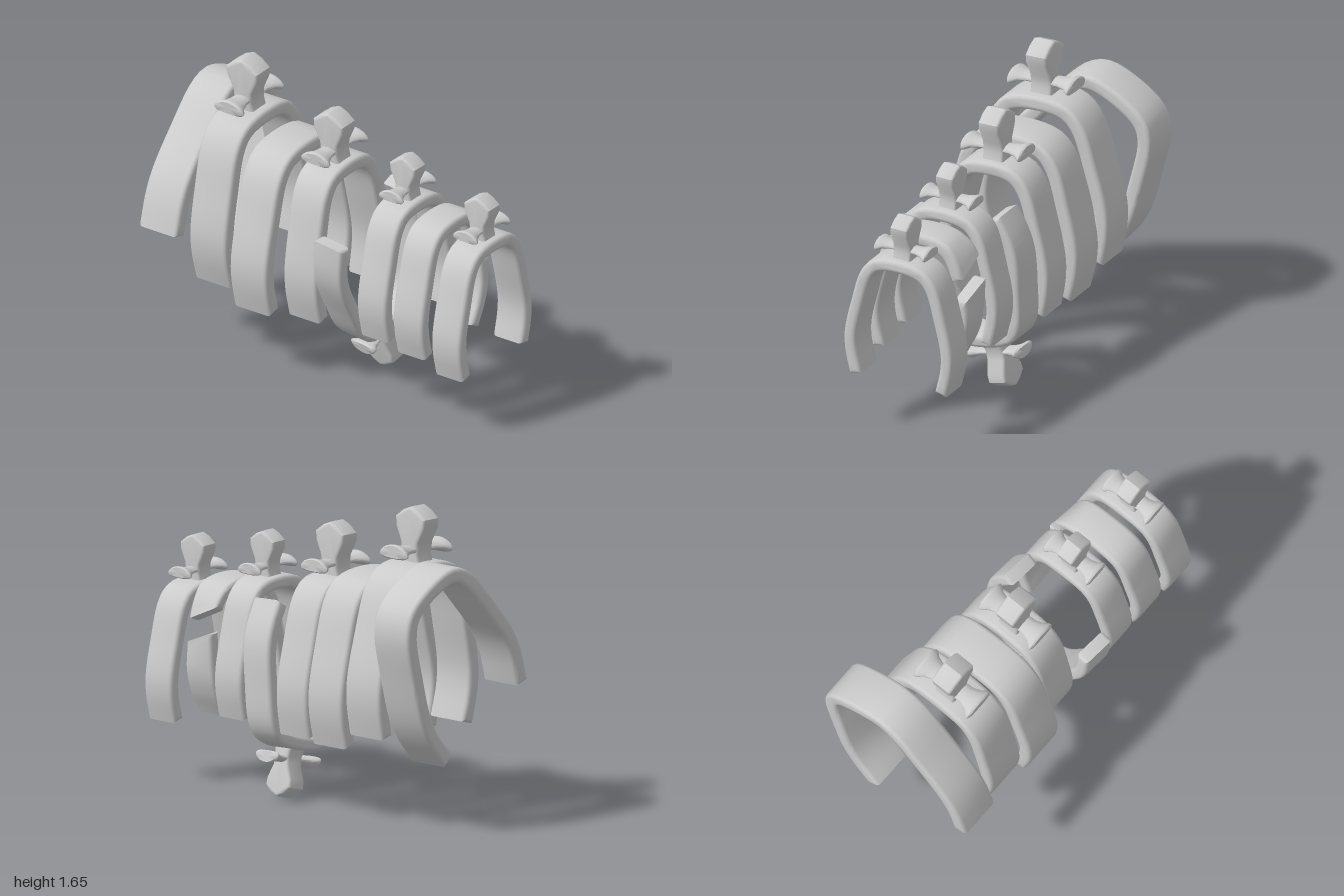
import * as THREE from 'three';
import { toCreasedNormals } from 'three/addons/utils/BufferGeometryUtils.js';

const material = new THREE.MeshStandardMaterial({ color: 0xcccccc });

// Half of the rib centreline, from the top of the arch to the tip of a leg
const HALF = [[0.12, 0.66], [0.188, 0.6], [0.25, 0.405], [0.288, 0.225], [0.284, 0.125], [0.26, 0.02]];

function addMesh(parent, geometry, name, crease = 0.75) {
  const mesh = new THREE.Mesh(toCreasedNormals(geometry, crease), material);
  mesh.name = name;
  parent.add(mesh);
  return mesh;
}

// Bevelled bar that follows the arch between two fractions of its length
function ribGeometry({ sx, sy, depth, from = 0, to = 1, breakY }) {
  const scaled = HALF.map(([x, y]) => new THREE.Vector3(x * sx, y * sy, 0));
  const mirrored = scaled.map(p => new THREE.Vector3(-p.x, p.y, 0)).reverse();
  const curve = new THREE.CatmullRomCurve3([...mirrored, ...scaled], false, 'centripetal');
  const bevel = 0.022;
  const half = 0.035 * (0.4 + 0.6 * sy) - bevel;
  const outer = [], inner = [];
  const n = 48;
  for (let i = 0; i <= n; i++) {
    const u = from + (to - from) * i / n;
    const p = curve.getPointAt(u), t = curve.getTangentAt(u);
    outer.push(new THREE.Vector2(p.x - t.y * half, p.y + t.x * half));
    inner.unshift(new THREE.Vector2(p.x + t.y * half, p.y - t.x * half));
  }
  const geometry = new THREE.ExtrudeGeometry(new THREE.Shape([...outer, ...inner]), {
    depth: depth - 2 * bevel, bevelSize: bevel, bevelThickness: bevel, bevelSegments: 3,
  });
  geometry.translate(0, 0, bevel - depth / 2);
  // Slant the broken end across the bar
  if (breakY !== undefined) {
    const pos = geometry.attributes.position;
    for (let i = 0; i < pos.count; i++) {
      if (pos.getX(i) < 0.1) continue;
      const w = Math.max(0, 1 - Math.abs(pos.getY(i) - breakY) / 0.14);
      pos.setY(i, pos.getY(i) - 0.5 * pos.getZ(i) * w);
    }
  }
  return geometry;
}

// Knobbed spine with a flared crossbar, standing on y = 0
function createVertebra() {
  const group = new THREE.Group();
  group.name = 'vertebra';
  const side = [[0.068, -0.03], [0.055, 0.01], [0.045, 0.05], [0.05, 0.1], [0.08, 0.165],
    [0.082, 0.195], [0.048, 0.236], [0, 0.25]];
  const bevel = 0.014;
  const right = side.map(([z, y]) => new THREE.Vector2(Math.max(0, z - bevel), y > 0.2 ? y - bevel : y));
  const left = right.slice(0, -1).reverse().map(p => new THREE.Vector2(-p.x, p.y));
  const knob = new THREE.ExtrudeGeometry(new THREE.Shape([...right, ...left]), {
    depth: 0.105 - 2 * bevel, bevelSize: bevel, bevelThickness: bevel, bevelSegments: 3,
  });
  knob.translate(0, 0, bevel - 0.0525).rotateY(Math.PI / 2);
  addMesh(group, knob, 'spineKnob', 0.6);

  const bar = [[0, 0.155], [0.066, 0.155], [0.078, 0.148], [0.076, 0.138], [0.056, 0.115], [0.044, 0.08], [0.04, 0]];
  const profile = [...bar, ...bar.slice(0, -1).reverse().map(([r, x]) => [r, -x])]
    .reverse().map(([r, x]) => new THREE.Vector2(r, x));
  const crossbar = new THREE.LatheGeometry(profile, 24);
  crossbar.rotateZ(-Math.PI / 2).scale(1, 0.4, 1);
  // Droop the front and back edges of the bar
  const pos = crossbar.attributes.position;
  for (let i = 0; i < pos.count; i++) pos.setY(i, pos.getY(i) - 2 * pos.getZ(i) ** 2);
  crossbar.translate(0, 0.066, 0);
  addMesh(group, crossbar, 'crossbar');
  return group;
}

// Ribs from front to back; knob is the size of the vertebra
const RIBS = [
  { name: 'rib1', at: [-0.045, 0.345, 0.905], sx: 1, sy: 1, depth: 0.19, knob: 1 },
  { name: 'brokenRib', at: [-0.045, 0.4, 0.66], sx: 1, sy: 1, depth: 0.195, to: 0.665, breakY: 0.53 },
  { name: 'brokenRibFragment', at: [-0.14, 0.475, 0.66], turn: [0, 0, -0.25], sx: 1, sy: 1, depth: 0.19,
    from: 0.765, breakY: 0.4 },
  { name: 'rib3', at: [-0.045, 0.43, 0.425], sx: 1, sy: 1.01, depth: 0.19, knob: 1 },
  { name: 'overturnedRib', at: [-0.115, 0.995, 0.205], turn: [0.07, -0.07, Math.PI + 0.26], sx: 1.1, sy: 1.06,
    depth: 0.195, knob: 1.08 },
  { name: 'rib5', at: [-0.008, 0.4, -0.05], turn: [0, 0, 0.035], sx: 1.03, sy: 1.17, depth: 0.215, knob: 1.17 },
  { name: 'rib6', at: [-0.05, 0.4, -0.31], sx: 1.26, sy: 1.25, depth: 0.24 },
  { name: 'rib7', at: [-0.015, 0.48, -0.59], turn: [0, 0, 0.045], sx: 1.25, sy: 1.27, depth: 0.24, knob: 1.22 },
  { name: 'leaningRib', at: [-0.155, 0.545, -0.872], turn: [0, 0, -0.5], sx: 1.3, sy: 1.3, depth: 0.245 },
];

export function createModel() {
  const model = new THREE.Group();
  model.name = 'ribcage';
  for (const rib of RIBS) {
    const group = new THREE.Group();
    group.name = rib.name;
    group.position.set(...rib.at);
    group.rotation.set(...(rib.turn ?? [0, 0, 0]));
    addMesh(group, ribGeometry(rib), 'ribArch');
    if (rib.knob) {
      const vertebra = createVertebra();
      vertebra.scale.setScalar(rib.knob);
      vertebra.position.y = 0.66 * rib.sy + 0.035 * (0.4 + 0.6 * rib.sy);
      group.add(vertebra);
    }
    model.add(group);
  }
  return model;
}
